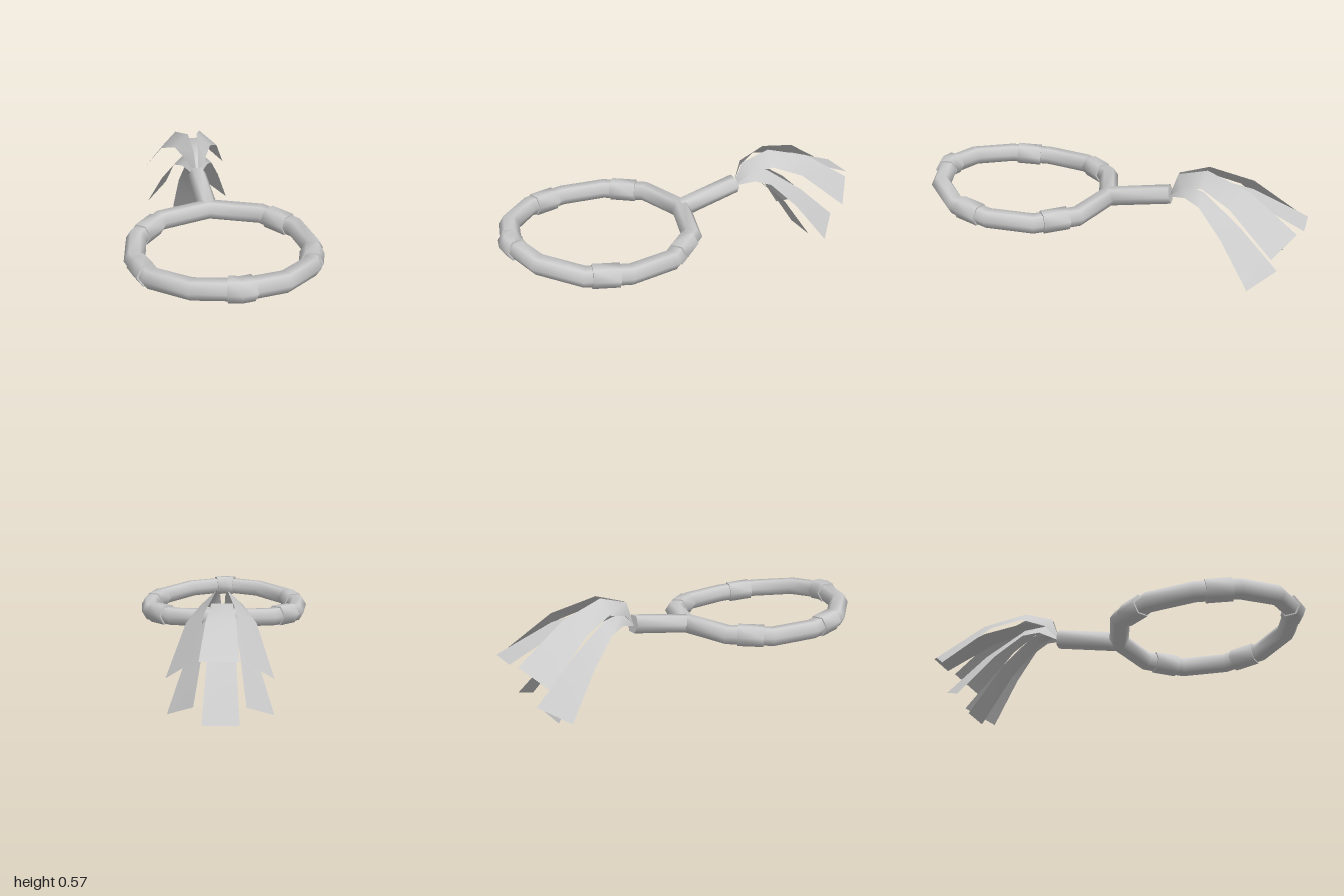
import * as THREE from 'three';
import { toCreasedNormals } from 'three/addons/utils/BufferGeometryUtils.js';

const SIDES = 6;
const grey = new THREE.MeshStandardMaterial({ color: 0xcccccc });
const cloth = new THREE.MeshStandardMaterial({ color: 0xcccccc, side: THREE.DoubleSide });

function buildGeometry(pos, index) {
  const g = new THREE.BufferGeometry();
  g.setAttribute('position', new THREE.Float32BufferAttribute(pos, 3));
  g.setIndex(index);
  g.computeVertexNormals();
  return g;
}

// Six-sided bar swept along a polyline with mitred joints
function bar(name, points, radius, closed = false) {
  const p = points.map(a => new THREE.Vector3(...a));
  const n = p.length, pos = [], index = [];
  const up = new THREE.Vector3(0, 1, 0);
  for (let i = 0; i < n; i++) {
    const prev = closed ? p[(i + n - 1) % n] : p[Math.max(i - 1, 0)];
    const next = closed ? p[(i + 1) % n] : p[Math.min(i + 1, n - 1)];
    const before = p[i].clone().sub(prev).normalize();
    const after = next.clone().sub(p[i]).normalize();
    const t = before.clone().add(after).normalize();
    const miter = 1 / t.dot(after.lengthSq() ? after : before);
    const side = t.clone().cross(up).normalize();
    const lift = side.clone().cross(t);
    for (let j = 0; j < SIDES; j++) {
      const a = j / SIDES * Math.PI * 2;
      const v = p[i].clone()
        .addScaledVector(side, Math.cos(a) * radius * miter)
        .addScaledVector(lift, Math.sin(a) * radius);
      pos.push(v.x, v.y, v.z);
    }
  }
  for (let i = 0; i < (closed ? n : n - 1); i++) {
    for (let j = 0; j < SIDES; j++) {
      const k = (j + 1) % SIDES, m = (i + 1) % n;
      const a = i * SIDES + j, b = i * SIDES + k, c = m * SIDES + j, d = m * SIDES + k;
      index.push(a, c, b, b, c, d);
    }
  }
  // End caps
  if (!closed) {
    const e = (n - 1) * SIDES;
    for (let j = 1; j < SIDES - 1; j++) index.push(0, j, j + 1, e, e + j + 1, e + j);
  }
  const mesh = new THREE.Mesh(toCreasedNormals(buildGeometry(pos, index), 1.3), grey);
  mesh.name = name;
  return mesh;
}

// Flat ribbon spanned between two edge polylines
function ribbon(name, edgeA, edgeB) {
  const pos = [], index = [];
  edgeA.forEach((a, i) => {
    pos.push(...a, ...edgeB[i]);
    if (i) {
      const k = 2 * i;
      index.push(k - 2, k - 1, k, k - 1, k + 1, k);
    }
  });
  const mesh = new THREE.Mesh(buildGeometry(pos, index), cloth);
  mesh.name = name;
  return mesh;
}

const flip = pts => pts.map(([x, y, z]) => [-x, y, z]);

export function createModel() {
  const model = new THREE.Group();

  // Ring: one half from front to back, mirrored
  const half = [[0.205, 0.40, 0.875], [0.365, 0.375, 0.715], [0.424, 0.358, 0.51],
    [0.398, 0.35, 0.28], [0.26, 0.352, 0.10]];
  const front = [0, 0.413, 0.935], back = [0, 0.358, 0.02];
  model.add(bar('ring', [front, ...half, back, ...flip(half).reverse()], 0.05, true));

  // Stem
  model.add(bar('stem', [[0, 0.358, 0.02], [-0.015, 0.41, -0.31]], 0.05));

  // Collars around the ring
  model.add(bar('frontCollar', [[-0.055, 0.411, 0.922], front, [0.055, 0.411, 0.922]], 0.059));
  const sideCollar = [[0.374, 0.372, 0.685], [0.41, 0.361, 0.56]];
  const backCollar = [[0.372, 0.351, 0.245], [0.29, 0.352, 0.139]];
  for (const [label, path] of [['SideCollar', sideCollar], ['BackCollar', backCollar]]) {
    model.add(bar('left' + label, path, 0.058));
    model.add(bar('right' + label, flip(path), 0.058));
  }

  // Tail of six ribbons fanning out from the end of the stem
  const tail = new THREE.Group();
  tail.name = 'tail';
  tail.position.x = -0.015;
  model.add(tail);

  // Middle ribbons: [half width, y, z]
  const middle = {
    upperMiddleRibbon: [[0.006, 0.41, -0.31], [0.03, 0.48, -0.37], [0.05, 0.51, -0.48],
      [0.068, 0.465, -0.72], [0.085, 0.345, -1]],
    lowerMiddleRibbon: [[0.006, 0.41, -0.31], [0.03, 0.432, -0.37], [0.048, 0.415, -0.44],
      [0.068, 0.255, -0.6], [0.086, 0.003, -0.77]],
  };
  for (const [name, path] of Object.entries(middle)) tail.add(ribbon(name, path, flip(path)));

  // Side ribbons: inner edge, outer edge
  const sides = {
    UpperRibbon: [
      [[0.003, 0.415, -0.31], [0.012, 0.53, -0.35], [0.025, 0.575, -0.5], [0.07, 0.51, -0.72], [0.115, 0.335, -0.97]],
      [[0.01, 0.405, -0.31], [0.055, 0.475, -0.38], [0.1, 0.505, -0.49], [0.16, 0.445, -0.64], [0.235, 0.243, -0.87]]],
    LowerRibbon: [
      [[0.003, 0.41, -0.31], [0.025, 0.485, -0.385], [0.045, 0.465, -0.49], [0.085, 0.315, -0.69], [0.115, 0.12, -0.89]],
      [[0.01, 0.4, -0.31], [0.07, 0.43, -0.4], [0.105, 0.405, -0.48], [0.165, 0.27, -0.61], [0.24, 0.053, -0.765]]],
  };
  for (const [name, [inner, outer]] of Object.entries(sides)) {
    tail.add(ribbon('left' + name, inner, outer));
    tail.add(ribbon('right' + name, flip(outer), flip(inner)));
  }

  return model;
}
